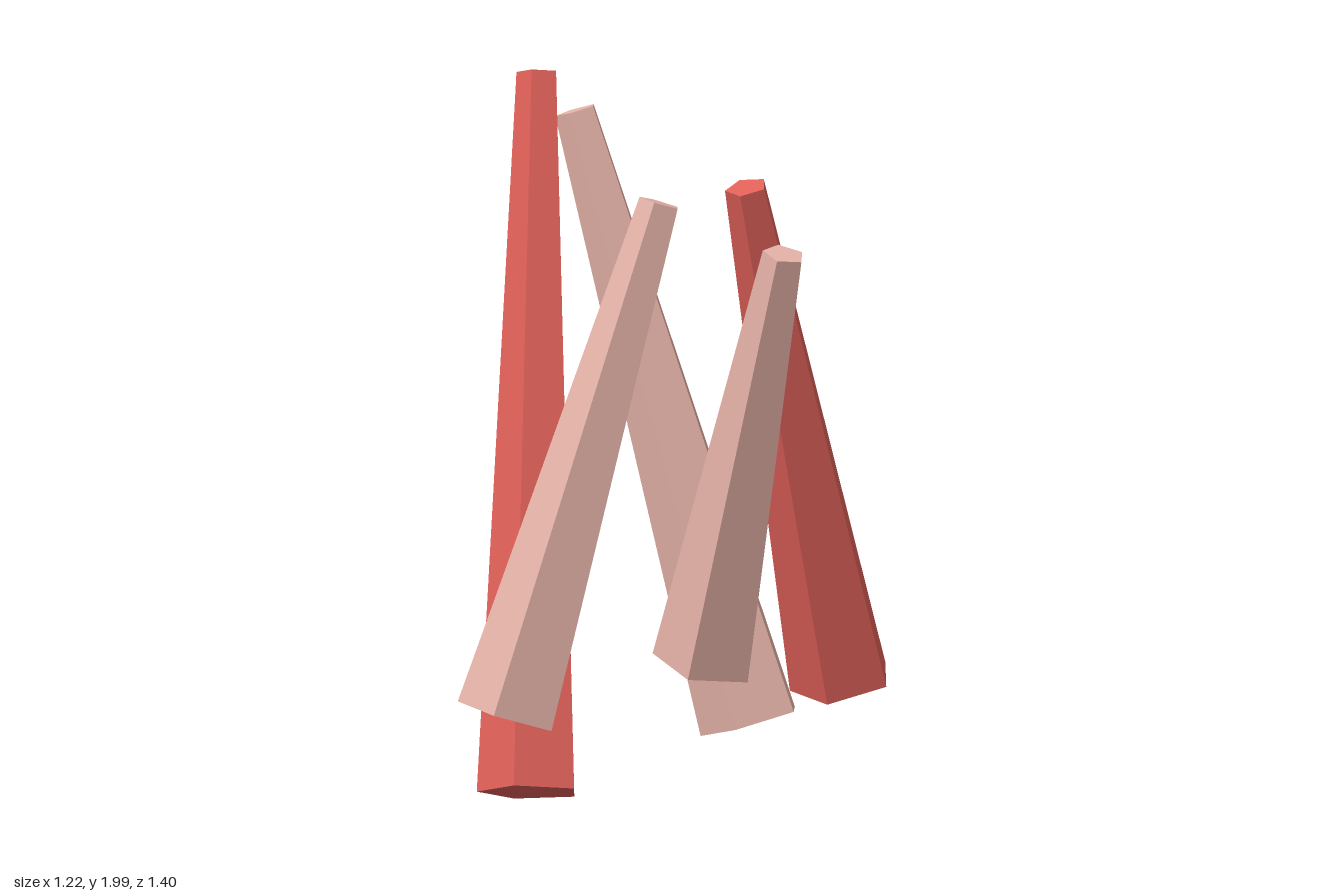
import * as THREE from 'three';

const RED = 0xe06059;
const PINK = 0xe5b3a8;

// Each log: name, colour, centre of the wide foot, centre of the narrow tip
const LOGS = [
  ['frontRightLog', RED, [-0.083, 0.053, 0.428], [-0.553, 1.985, 0.064]],
  ['frontLog', PINK, [0.04, 0.3, 0.589], [0.178, 1.728, 0.17]],
  ['leftLog', PINK, [0.18, 0.415, 0.017], [0.553, 1.62, 0.015]],
  ['backLog', RED, [0.04, 0.284, -0.554], [0.172, 1.742, -0.129]],
  ['backRightLog', PINK, [-0.118, 0.17, -0.357], [-0.531, 1.87, -0.05]],
];

// Tapered five-sided log running from foot to tip
function makeLog(name, color, foot, tip) {
  const a = new THREE.Vector3(...foot);
  const b = new THREE.Vector3(...tip);
  const axis = b.clone().sub(a);
  const geometry = new THREE.CylinderGeometry(0.061, 0.15, axis.length(), 5);
  geometry.rotateY(Math.PI); // one corner points to the back
  const mesh = new THREE.Mesh(
    geometry,
    new THREE.MeshStandardMaterial({ color, flatShading: true })
  );
  mesh.name = name;
  mesh.position.copy(a).lerp(b, 0.5);
  mesh.quaternion.setFromUnitVectors(new THREE.Vector3(0, 1, 0), axis.normalize());
  return mesh;
}

export function createModel() {
  const group = new THREE.Group();
  group.name = 'leaningLogs';
  for (const log of LOGS) group.add(makeLog(...log));
  return group;
}
